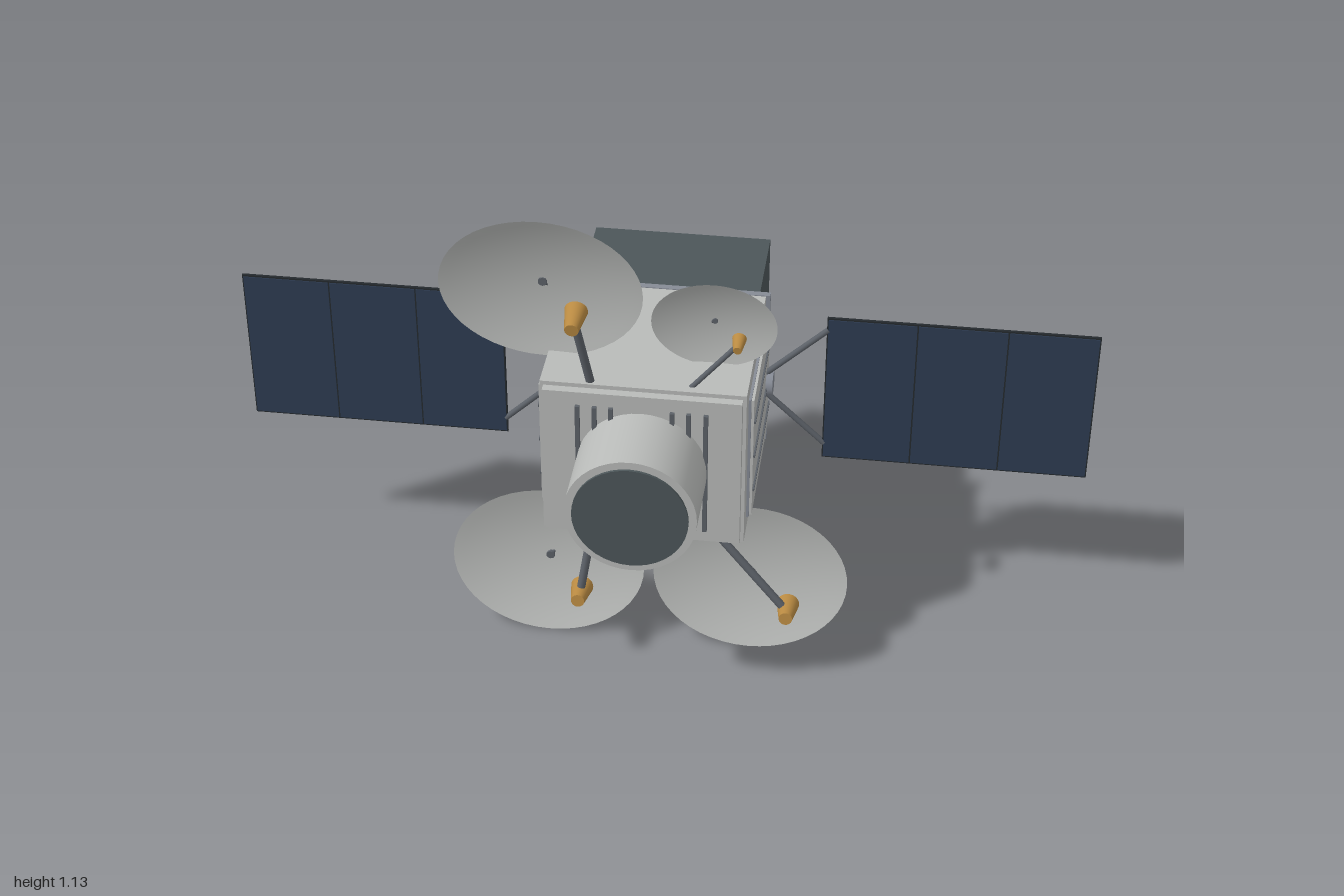
import * as THREE from 'three';

const mat = (name, color, side = THREE.FrontSide) => {
  const m = new THREE.MeshStandardMaterial({ color, side });
  m.name = name;
  return m;
};

export function createModel() {
  const shell = mat('light grey shell', 0xb9bbb9);
  const dishMat = mat('dish grey', 0xb9bbb9, THREE.DoubleSide);
  const trim = mat('blue grey trim', 0x868b95);
  const strutMat = mat('strut grey', 0x5c6168);
  const dark = mat('dark slate', 0x4c5659);
  const black = mat('near black', 0x24292d);
  const cell = mat('solar blue', 0x2d3c52);
  const backing = mat('panel backing', 0x747b82);
  const gold = mat('gold', 0xb98a42);

  const model = new THREE.Group();
  model.name = 'satellite';
  const CY = 0.577;

  const add = (name, geo, material, x = 0, y = 0, z = 0, parent = model) => {
    const m = new THREE.Mesh(geo, material);
    m.name = name;
    m.position.set(x, y, z);
    parent.add(m);
    return m;
  };
  // Box given by its low and high corners
  const box = (name, material, [x0, x1], [y0, y1], [z0, z1], parent = model) =>
    add(name, new THREE.BoxGeometry(x1 - x0, y1 - y0, z1 - z0), material,
      (x0 + x1) / 2, (y0 + y1) / 2, (z0 + z1) / 2, parent);
  // Cylinder along z; rFront is the radius at the +z end
  const drum = (name, material, rFront, rBack, z0, z1, segs = 40, open = false) =>
    add(name, new THREE.CylinderGeometry(rFront, rBack, z1 - z0, segs, 1, open).rotateX(Math.PI / 2),
      material, 0, CY, (z0 + z1) / 2);
  // Round rod between two points
  const rod = (name, a, b, r, material = strutMat, parent = model) => {
    const p = new THREE.Vector3(...a), q = new THREE.Vector3(...b);
    const m = add(name, new THREE.CylinderGeometry(r, r, p.distanceTo(q), 10), material, 0, 0, 0, parent);
    m.position.copy(p).add(q).multiplyScalar(0.5);
    m.quaternion.setFromUnitVectors(new THREE.Vector3(0, 1, 0), q.sub(p).normalize());
    return m;
  };

  // Main body with front and rear plates
  box('body', shell, [-0.23, 0.23], [0.375, 0.778], [-0.145, 0.263]);
  box('frontPlate', shell, [-0.222, 0.222], [0.385, 0.768], [0.263, 0.283]);
  box('rearPlate', trim, [-0.24, 0.24], [0.372, 0.78], [-0.161, -0.145]);

  // Side panels with horizontal ribs and a panel hub
  for (const s of [-1, 1]) {
    const span = (a, b) => (s > 0 ? [a, b] : [-b, -a]);
    box('sidePanelEdge', trim, span(0.23, 0.236), [0.413, 0.737], [-0.143, 0.218]);
    box('sidePanel', shell, span(0.23, 0.242), [0.417, 0.733], [-0.14, 0.214]);
    for (const y of [0.483, 0.577, 0.67])
      box('sideRib', strutMat, span(0.242, 0.246), [y - 0.003, y + 0.003], [-0.145, 0.208]);
    rod('panelHub', [s * 0.235, CY, -0.087], [s * 0.258, CY, -0.087], 0.029, trim);
  }

  // Vertical louvres beside the front barrel
  for (const s of [-1, 1])
    for (const x of [0.068, 0.105, 0.143])
      box('louvre', strutMat, [s * x - 0.005, s * x + 0.005], [0.417, 0.735], [0.283, 0.292]);

  // Front barrel and its dark end
  drum('frontBarrel', shell, 0.147, 0.147, 0.283, 0.466);
  drum('barrelEnd', dark, 0.129, 0.129, 0.46, 0.472);

  // Rear housing with engine ring
  box('rearHousing', dark, [-0.212, 0.212], [0.395, 0.757], [-0.432, -0.161]);
  const ring = new THREE.Shape().absarc(0, 0, 0.155, 0, Math.PI * 2);
  ring.holes.push(new THREE.Path().absarc(0, 0, 0.1, 0, Math.PI * 2, true));
  add('engineRing', new THREE.ExtrudeGeometry(ring, { depth: 0.04, bevelEnabled: false, curveSegments: 24 }),
    trim, 0, CY, -0.47);
  drum('engineOpening', dark, 0.1, 0.1, -0.438, -0.43, 24);

  // Solar wings: three cells each, framed, with backing and hub struts
  for (const s of [-1, 1]) {
    const wing = new THREE.Group();
    wing.name = s > 0 ? 'leftSolarWing' : 'rightSolarWing';
    model.add(wing);
    const span = (a, b) => (s > 0 ? [a, b] : [-b, -a]);
    box('wingFrame', black, span(0.378, 1), [0.378, 0.77], [-0.092, -0.085], wing);
    for (let i = 0; i < 3; i++) {
      const x0 = 0.381 + i * 0.2065, x1 = x0 + 0.203;
      box('solarCell', cell, span(x0, x1), [0.382, 0.766], [-0.086, -0.083], wing);
      box('cellBacking', backing, span(x0 + 0.002, x1 - 0.002), [0.384, 0.764], [-0.095, -0.091], wing);
      for (const y of [0.44, 0.708])
        for (let k = 0; k < 9; k++) {
          const d = x0 + 0.012 + k * 0.0215;
          box('backingDash', strutMat, span(d, d + 0.011), [y - 0.002, y + 0.002], [-0.0965, -0.094], wing);
        }
    }
    for (const v of [-1, 1])
      rod('wingStrut', [s * 0.235, CY + v * 0.022, -0.088], [s * 0.382, CY + v * 0.16, -0.088], 0.007, strutMat, wing);
  }

  // Dish antenna: bowl, hub dot, two rear struts, feed horn on an arm
  const dish = (name, { x, y, rx, ry, up, anchors, armFoot, feed, horn }) => {
    const g = new THREE.Group();
    g.name = name;
    model.add(g);
    const edge = up > 0 ? 0.776 : 0.377;
    const depth = rx * 0.14, zBack = 0.137;
    const profile = [];
    for (let i = 0; i <= 10; i++) profile.push(new THREE.Vector2(i / 10, (i / 10) ** 2));
    const bowl = add('dishBowl', new THREE.LatheGeometry(profile, 48).rotateX(Math.PI / 2).scale(rx, ry, depth),
      dishMat, x, y, zBack, g);
    bowl.rotation.x = up * 0.128;
    rod('dishCentre', [x, y, zBack - 0.004], [x, y, zBack + 0.005], rx * 0.045, strutMat, g);
    for (const ax of anchors) rod('dishStrut', [ax, edge, 0.008], [x, y, zBack], 0.006, strutMat, g);
    const [fx, fy, fz] = feed;
    rod('feedArm', armFoot, [fx, fy, fz], horn * 0.37, strutMat, g);
    const cone = add('feedHorn', new THREE.CylinderGeometry(horn * 0.6, horn, horn * 2.6, 24).rotateX(Math.PI / 2),
      gold, fx, fy, fz, g);
    cone.rotation.x = up * 0.128;
  };
  const big = { rx: 0.228, ry: 0.1895 };
  dish('upperRightDish', { ...big, x: -0.24, y: 0.958, up: 1, anchors: [-0.215, -0.06],
    armFoot: [-0.118, 0.77, 0.247], feed: [-0.147, 0.954, 0.28], horn: 0.026 });
  dish('lowerRightDish', { ...big, x: -0.24, y: 0.192, up: -1, anchors: [-0.215, -0.06],
    armFoot: [-0.118, 0.383, 0.247], feed: [-0.147, 0.197, 0.28], horn: 0.026 });
  dish('lowerLeftDish', { ...big, x: 0.238, y: 0.192, up: -1, anchors: [0.215, 0.06],
    armFoot: [0.165, 0.383, 0.247], feed: [0.335, 0.197, 0.28], horn: 0.026 });
  dish('upperLeftDish', { rx: 0.14, ry: 0.116, x: 0.144, y: 0.888, up: 1, anchors: [0.15, 0.012],
    armFoot: [0.1, 0.77, 0.24], feed: [0.205, 0.886, 0.224], horn: 0.016 });

  return model;
}
